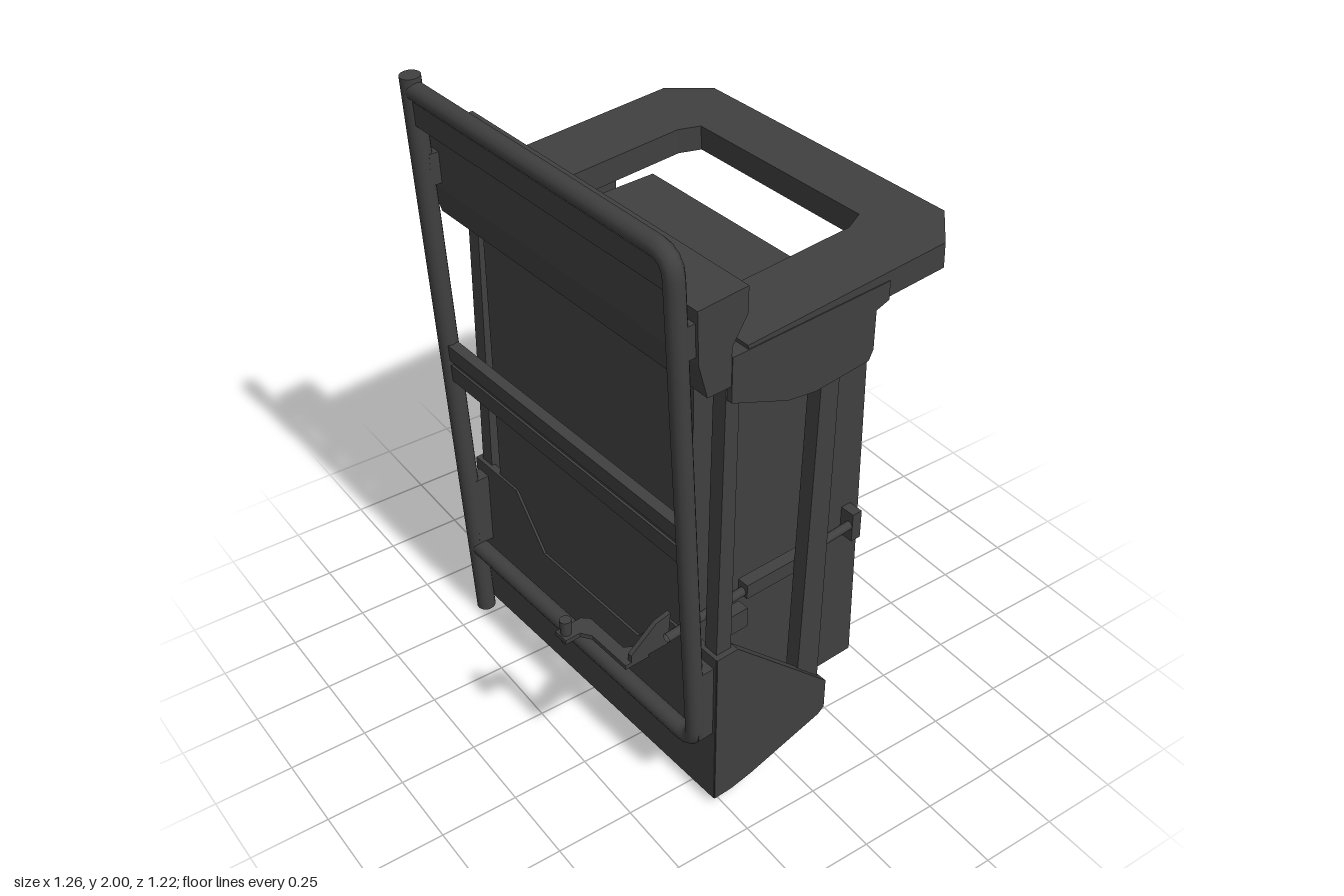
import * as THREE from 'three';

const paint = new THREE.MeshStandardMaterial({ color: 0x404040, side: THREE.DoubleSide });

export function createModel() {
  const model = new THREE.Group();
  model.name = 'fieldWorkstation';
  const unit = new THREE.Group();
  unit.name = 'unit';
  unit.rotation.y = 0.064;
  model.add(unit);

  const add = (name, geometry, parent = unit) => {
    const mesh = new THREE.Mesh(geometry, paint);
    mesh.name = name;
    parent.add(mesh);
    return mesh;
  };
  const toShape = pts => new THREE.Shape(pts.map(p => new THREE.Vector2(...p)));
  // Box given by its min and max on each axis
  const box = (name, x0, x1, y0, y1, z0, z1) =>
    add(name, new THREE.BoxGeometry(x1 - x0, y1 - y0, z1 - z0))
      .position.set((x0 + x1) / 2, (y0 + y1) / 2, (z0 + z1) / 2);
  // Side profile of [z, y] points, extruded from x0 to x1
  const profile = (name, pts, x0, x1) => {
    const g = new THREE.ExtrudeGeometry(toShape(pts), { depth: x1 - x0, bevelEnabled: false });
    g.rotateY(-Math.PI / 2).translate(x1, 0, 0);
    return add(name, g);
  };
  // Round bar between two points
  const bar = (name, a, b, r) => {
    const A = new THREE.Vector3(...a), B = new THREE.Vector3(...b);
    add(name, new THREE.TubeGeometry(new THREE.LineCurve3(A, B), 1, r, 12));
  };

  // Cabinet
  profile('cabinet', [[0.31, 0.16], [0.31, 1.47], [-0.32, 1.47], [-0.345, 0.16]], -0.48, 0.48);

  // Raised rear door with a latch notch on its +x edge, and sloped top and bottom
  const backZ = y => -0.345 + (y - 0.16) * 0.019;
  const doorSide = (y0, y1, top, bottom) => [
    [-0.31, y0], [-0.31, y1], [backZ(y1), y1], [-0.368, y1 - top], [-0.378, y0 + bottom], [backZ(y0), y0]];
  profile('rearDoor', doorSide(0.35, 1.29, 0.06, 0.06), -0.37, 0.29);
  profile('rearDoorUpperEdge', doorSide(0.93, 1.29, 0.06, 0), 0.29, 0.37);
  profile('rearDoorLowerEdge', doorSide(0.35, 0.71, 0, 0.06), 0.29, 0.37);
  const notch = new THREE.ExtrudeGeometry(
    toShape([[0.37, 0.73], [0.33, 0.73], [0.28, 0.78], [0.28, 0.86], [0.33, 0.91], [0.37, 0.91]]),
    { depth: 0.03, bevelEnabled: false });
  add('doorLatch', notch).position.z = -0.362;
  for (const y of [0.52, 0.7, 0.94, 1.12])
    for (const x of [-0.16, 0.14]) box('doorRib', x - 0.12, x + 0.12, y - 0.008, y + 0.008, -0.383, -0.36);
  box('rearLowerTrim', -0.36, 0.36, 0.245, 0.255, -0.348, -0.33);
  for (let i = 0; i < 8; i++) box('rearVent', -0.36 + i * 0.094, -0.31 + i * 0.094, 1.375, 1.387, -0.327, -0.31);

  // Table top with a chamfered opening, tilted slightly up to the rear
  const table = toShape([[-0.605, -0.235], [0.6, -0.235], [0.6, 0.465], [0.485, 0.58], [-0.495, 0.58], [-0.605, 0.465]]);
  table.holes.push(new THREE.Path([
    [-0.37, -0.07], [-0.31, -0.135], [0.31, -0.135], [0.37, -0.07],
    [0.37, 0.33], [0.34, 0.395], [-0.34, 0.395], [-0.37, 0.33]].map(p => new THREE.Vector2(...p))));
  const top = add('tableTop', new THREE.ExtrudeGeometry(table, { depth: 0.08, bevelEnabled: false })
    .rotateX(-Math.PI / 2).translate(0, -0.08, 0));
  top.rotation.x = 0.05;
  top.position.y = 1.645;

  // Rear-of-table ledge beside the frame
  profile('ledge', [[0.4, 1.8], [0.237, 1.81], [0.237, 1.73], [0.287, 1.65],
    [0.287, 1.53], [0.365, 1.53], [0.395, 1.64]], -0.605, 0.6);

  // Front skirt of the lower tray
  const skirt = toShape([[-0.605, 0.03], [0.6, 0.03], [0.6, 0.6], [0.38, 0.6], [0.24, 0.43],
    [-0.24, 0.43], [-0.38, 0.6], [-0.605, 0.6]]);
  add('traySkirt', new THREE.ExtrudeGeometry(skirt, { depth: 0.025, bevelEnabled: false })).position.z = 0.293;
  box('trayFlange', -0.6, 0.6, 0.03, 0.05, 0.24, 0.31);

  // Mirrored side parts
  for (const s of [-1, 1]) {
    const side = (name, pts, a, b) => profile(name, pts, Math.min(s * a, s * b), Math.max(s * a, s * b));
    side('tableBracket', [[0.287, 1.62], [0.287, 1.48], [0.09, 1.4], [-0.01, 1.385], [-0.2, 1.4],
      [-0.215, 1.43], [-0.215, 1.555], [-0.26, 1.57], [-0.26, 1.63]], 0.53, 0.603);
    side('traySide', [[0.316, 0.03], [0.25, 0.03], [0.17, 0.045], [-0.1, 0.12], [-0.122, 0.14],
      [-0.122, 0.25], [0.24, 0.6], [0.316, 0.6]], 0.57, 0.604);
    side('rearPost', [[-0.046, 1.42], [-0.112, 1.42], [-0.102, 0.2], [-0.015, 0.2]], 0.535, 0.585);
    side('frontPost', [[0.29, 1.56], [0.245, 1.56], [0.255, 0.1], [0.312, 0.1]], 0.535, 0.585);
    box('upperClamp', s * 0.565 - 0.025, s * 0.565 + 0.025, 1.66, 1.76, 0.36, 0.43);
    box('lowerClamp', s * 0.565 - 0.025, s * 0.565 + 0.025, 0.3, 0.56, 0.3, 0.37);
  }

  // Leaning tube frame: one long post and a three-sided loop
  const frameZ = y => 0.346 + 0.052 * y;
  const frame = new THREE.Group();
  frame.name = 'tubeFrame';
  unit.add(frame);
  const post = add('longPost', new THREE.CylinderGeometry(0.031, 0.031, 2, 16), frame);
  post.position.set(-0.57, 1, frameZ(1));
  post.rotation.x = 0.052;
  const at = (x, y) => new THREE.Vector3(x, y, frameZ(y));
  const loop = new THREE.CurvePath();
  const rails = [at(-0.57, 1.957), at(0.5, 1.957), at(0.565, 1.957), at(0.565, 1.89),
    at(0.565, 0.34), at(0.565, 0.275), at(0.5, 0.275), at(-0.57, 0.275)];
  loop.add(new THREE.LineCurve3(rails[0], rails[1]));
  loop.add(new THREE.QuadraticBezierCurve3(rails[1], rails[2], rails[3]));
  loop.add(new THREE.LineCurve3(rails[3], rails[4]));
  loop.add(new THREE.QuadraticBezierCurve3(rails[4], rails[5], rails[6]));
  loop.add(new THREE.LineCurve3(rails[6], rails[7]));
  add('loopTube', new THREE.TubeGeometry(loop, 160, 0.029, 12), frame);
  // Flat cross rails
  for (const [y, h] of [[1.895, 0.075], [1.083, 0.055], [1.008, 0.06]]) {
    const rail = add('crossRail', new THREE.BoxGeometry(1.11, h, 0.035), frame);
    rail.position.set(0, y, frameZ(y));
    rail.rotation.x = 0.052;
  }
  box('crossRailWeb', -0.55, 0.55, 1.03, 1.06, frameZ(1.04) - 0.012, frameZ(1.04) + 0.01);

  // Crank rod along the +x side, with brackets and a handle at the front
  bar('crankRod', [0.515, 0.735, -0.29], [0.515, 0.69, 0.43], 0.014);
  box('rodSleeve', 0.495, 0.535, 0.69, 0.74, -0.08, 0.15);
  box('rodEndBracket', 0.48, 0.53, 0.68, 0.78, -0.3, -0.265);
  box('rodTab', 0.5, 0.54, 0.59, 0.66, 0.15, 0.24);
  profile('crankPlate', [[0.39, 0.74], [0.44, 0.73], [0.53, 0.66], [0.53, 0.63], [0.4, 0.63]], 0.47, 0.485);
  const arm = toShape([[0.485, -0.47], [0.485, -0.55], [0.33, -0.55], [0.3, -0.57], [0.3, -0.62],
    [0.25, -0.62], [0.25, -0.53], [0.27, -0.51], [0.42, -0.51], [0.45, -0.47]]);
  add('crankArm', new THREE.ExtrudeGeometry(arm, { depth: 0.015, bevelEnabled: false })
    .rotateX(-Math.PI / 2)).position.y = 0.62;
  add('crankKnob', new THREE.CylinderGeometry(0.018, 0.015, 0.08, 12)).position.set(0.273, 0.645, 0.6);

  return model;
}
